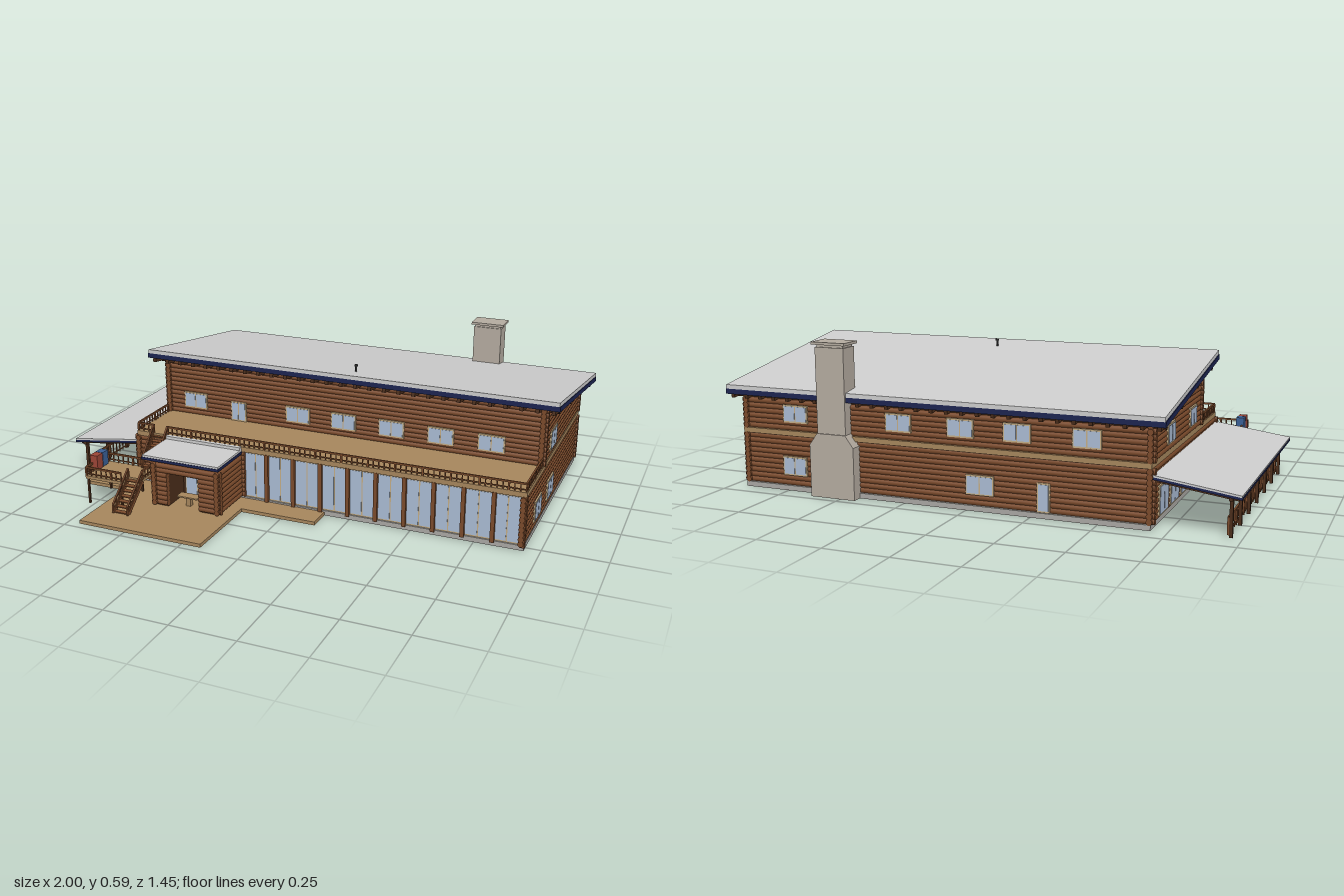
import * as THREE from 'three';
import { mergeGeometries } from 'three/addons/utils/BufferGeometryUtils.js';

const LOG = 0x7a4a2b, DARK = 0x4a2d1a, TAN = 0xa5855c, NAVY = 0x1c2450, ROOF = 0xdcdde0,
  GLASS = 0xa9bad2, FRAME = 0xc2ab84, STONE = 0xb3aa9f, CONCRETE = 0xa8a6a2;

// Box given by its limits
const box = (x0, x1, y0, y1, z0, z1) =>
  new THREE.BoxGeometry(x1 - x0, y1 - y0, z1 - z0).translate((x0 + x1) / 2, (y0 + y1) / 2, (z0 + z1) / 2);
// Box on a wall: u runs along the wall, p is the position across it
const wallBox = (axis, u0, u1, y0, y1, p0, p1) => {
  const a = Math.min(p0, p1), b = Math.max(p0, p1);
  return axis === 'x' ? box(u0, u1, y0, y1, a, b) : box(a, b, y0, y1, u0, u1);
};
// Square bar between two points
const beam = (a, b, w, h = w) => {
  const A = new THREE.Vector3(...a), B = new THREE.Vector3(...b);
  const o = new THREE.Object3D();
  o.position.copy(A).lerp(B, 0.5);
  o.lookAt(B);
  o.updateMatrix();
  return new THREE.BoxGeometry(w, h, A.distanceTo(B)).applyMatrix4(o.matrix);
};
// Outline in (z, y) extended from x0 to x1
const prism = (pts, x0, x1) =>
  new THREE.ExtrudeGeometry(new THREE.Shape(pts.map(p => new THREE.Vector2(...p))), { depth: x1 - x0, bevelEnabled: false })
    .rotateY(-Math.PI / 2).translate(x1, 0, 0);
// Round log along x or z
const log = (axis, u0, u1, y, p, r) => {
  const g = new THREE.CylinderGeometry(r, r, u1 - u0, 10).rotateZ(Math.PI / 2);
  return axis === 'x' ? g.translate((u0 + u1) / 2, y, p) : g.rotateY(Math.PI / 2).translate(p, y, (u0 + u1) / 2);
};
// Handrail with mid rail and balusters, from a to b at floor level
const railing = (a, b, h, step = 0.022) => {
  const up = (p, d) => [p[0], p[1] + d, p[2]];
  const out = [beam(up(a, h), up(b, h), 0.007), beam(up(a, 0.01), up(b, 0.01), 0.004)];
  const n = Math.max(1, Math.round(Math.hypot(b[0] - a[0], b[2] - a[2]) / step));
  for (let i = 0; i <= n; i++) {
    const p = a.map((v, k) => v + (b[k] - v) * i / n);
    out.push(beam(up(p, 0), up(p, h - 0.0005), i % 5 ? 0.004 : 0.007));
  }
  return out;
};

export function createModel() {
  const model = new THREE.Group();
  const part = (name, color, geoms) => {
    const g = mergeGeometries(geoms.map(q => (q.index ? q.toNonIndexed() : q)));
    const mesh = new THREE.Mesh(g, new THREE.MeshStandardMaterial({ color }));
    mesh.name = name;
    model.add(mesh);
  };
  const X0 = -0.685, X1 = 0.93, ZB = -0.665, ZF = 0.275, ZU = 0.01;
  const roofY = z => 0.523 + (z - 0.085) * 0.152;

  // Ground slab and wall cores
  part('foundation', CONCRETE, [box(-0.69, 0.94, 0, 0.02, -0.68, 0.28)]);
  part('wallCore', DARK, [
    box(X0, X1, 0.02, 0.216, ZB, 0.262), box(X0, -0.205, 0.02, 0.216, 0.26, ZF),
    prism([[ZU, 0.23], [ZU, roofY(ZU) - 0.036], [ZB, roofY(ZB) - 0.036], [ZB, 0.23]], X0, X1)]);

  // Stacked log walls with crossing corners
  const lower = [], upper = [], porch = [], n = 10, pitch = 0.0196, r = 0.0115, e = 0.018;
  for (let i = 0; i < n; i++) {
    const y = 0.03 + i * pitch;
    for (const x of [X0, X1]) lower.push(log('z', ZB - e, ZF + e, y, x, r));
    lower.push(log('x', X0 - e, X1 + e, y, ZB, r), log('x', X0 - e, -0.2, y, ZF, r));
    if (y < 0.2) {
      for (const x of [-0.5, -0.222]) porch.push(log('z', 0.28, 0.49, y, x, r));
      if (y > 0.16) porch.push(log('x', -0.515, -0.208, y, 0.472, r));
      else porch.push(log('x', -0.515, -0.445, y, 0.472, r), log('x', -0.305, -0.208, y, 0.472, r));
    }
  }
  for (let y = 0.245; y < 0.47; y += pitch) {
    // Side logs stop where the sloping roof cuts them
    const cut = Math.max(ZB - e, 0.085 + (y + 0.044 - 0.523) / 0.152);
    if (cut < ZU) for (const x of [X0, X1]) upper.push(log('z', cut, ZU + e, y, x, r));
    upper.push(log('x', X0 - e, X1 + e, y, ZU, r));
    if (y < 0.362) upper.push(log('x', X0 - e, X1 + e, y, ZB, r));
  }
  part('lowerLogWalls', LOG, lower);
  part('upperLogWalls', LOG, upper);
  part('porchLogWalls', LOG, porch);

  // Floor band and terrace, ground decks
  part('terraceFloor', TAN, [box(-0.692, 0.942, 0.216, 0.236, -0.682, 0.285)]);
  part('groundDeck', TAN, [box(-0.7, -0.17, 0, 0.014, 0.38, 0.72), box(-0.89, 0.145, 0, 0.014, 0.28, 0.38)]);

  // Main roof with eaves
  const layer = (top, bottom) => [[0.085, roofY(0.085) - bottom], [0.085, roofY(0.085) - top],
    [-0.707, roofY(-0.707) - top], [-0.707, roofY(-0.707) - bottom]];
  part('roofTop', ROOF, [prism(layer(0, 0.016), -0.742, 0.998)]);
  part('roofFascia', NAVY, [prism(layer(0.016, 0.036), -0.745, 1)]);
  const rafters = [];
  for (let i = 0; i <= 28; i++) {
    const x = -0.72 + i * 1.695 / 28;
    for (const [a, b] of [[-0.02, 0.075], [-0.697, -0.64]])
      rafters.push(beam([x, roofY(a) - 0.044, a], [x, roofY(b) - 0.044, b], 0.014, 0.018));
  }
  for (const z of [-0.66, -0.45, -0.22, 0.005]) rafters.push(log('x', -0.735, 0.985, roofY(z) - 0.047, z, 0.011));
  part('rafters', DARK, rafters);
  part('ventPipe', 0x333333, [new THREE.CylinderGeometry(0.004, 0.004, 0.04, 10).translate(0.157, 0.513, -0.02),
    new THREE.CylinderGeometry(0.007, 0.007, 0.007, 10).translate(0.157, 0.533, -0.02)]);

  // Chimney: wide base, sloped shoulders, shaft and cap
  const base = new THREE.Shape([[0.437, 0], [0.623, 0], [0.623, 0.2], [0.59, 0.245], [0.47, 0.245], [0.437, 0.2]]
    .map(p => new THREE.Vector2(...p)));
  part('chimney', STONE, [
    new THREE.ExtrudeGeometry(base, { depth: 0.06, bevelEnabled: false }).translate(0, 0, -0.72),
    box(0.47, 0.59, 0.24, 0.57, -0.715, -0.637), box(0.475, 0.585, 0.57, 0.58, -0.71, -0.642),
    box(0.46, 0.6, 0.58, 0.59, -0.725, -0.63)]);

  // Windows: frame, two panes
  const frames = [], panes = [];
  const win = (axis, u0, u1, y0, y1, plane, s, cols = 2) => {
    frames.push(wallBox(axis, u0, u1, y0, y1, plane, plane + s * 0.015));
    const w = (u1 - u0 - 0.006) / cols;
    for (let i = 0; i < cols; i++) {
      const a = u0 + 0.003 + i * w;
      panes.push(wallBox(axis, a + 0.0025, a + w - 0.0025, y0 + 0.006, y1 - 0.006, plane, plane + s * 0.0165));
    }
  };
  for (const x of [-0.61, -0.135, 0.068, 0.273, 0.478, 0.682]) win('x', x, x + 0.107, 0.267, 0.336, ZU, 1);
  win('x', -0.388, -0.318, 0.237, 0.322, ZU, 1);
  for (const x of [0.71, 0.27, 0.02, -0.2, -0.46]) win('x', x - 0.053, x + 0.053, 0.267, 0.336, ZB, -1);
  win('x', 0.665, 0.77, 0.06, 0.135, ZB, -1);
  win('x', -0.11, 0, 0.06, 0.135, ZB, -1);
  win('x', -0.325, -0.275, 0.022, 0.13, ZB, -1, 1);
  win('z', -0.19, -0.08, 0.26, 0.345, X1, 1);
  for (const z of [-0.19, 0.025]) win('z', z, z + 0.11, 0.05, 0.135, X1, 1);
  for (const z of [-0.5, -0.18]) win('z', z, z + 0.1, 0.26, 0.335, X0, -1);
  for (const z of [-0.6, -0.45, -0.3]) win('z', z, z + 0.12, 0.03, 0.14, X0, -1);
  win('x', -0.43, -0.32, 0.016, 0.125, 0.345, 1);

  // Large front glazing between timber posts
  const posts = [];
  for (let i = 0; i < 10; i++) {
    const b = -0.104 + i * 0.1155, a = Math.max(b - 0.1155, -0.205);
    win('x', a, Math.min(b, 0.925), 0.02, 0.215, 0.258, 1);
    posts.push(box(b - 0.008, b + 0.008, 0.014, 0.218, 0.265, 0.287));
  }
  part('windowFrames', FRAME, frames);
  part('windowPanes', GLASS, panes);
  part('glazingPosts', LOG, posts);

  // Entrance porch
  part('porchInterior', DARK, [box(-0.5, -0.222, 0.01, 0.205, 0.27, 0.345),
    box(-0.498, -0.447, 0.01, 0.2, 0.34, 0.47), box(-0.303, -0.224, 0.01, 0.2, 0.34, 0.47), box(-0.45, -0.3, 0.165, 0.2, 0.34, 0.47)]);
  part('porchRoofFascia', NAVY, [box(-0.55, -0.21, 0.206, 0.217, 0.283, 0.49)]);
  part('porchRoofTop', ROOF, [box(-0.548, -0.212, 0.217, 0.2375, 0.284, 0.3), box(-0.548, -0.212, 0.217, 0.225, 0.284, 0.488)]);
  part('porchTable', TAN, [box(-0.42, -0.33, 0.05, 0.056, 0.41, 0.45), box(-0.385, -0.365, 0.014, 0.05, 0.42, 0.44)]);

  // Terrace railing
  const F = 0.236, H = 0.033;
  part('terraceRailing', LOG, [
    ...railing([-0.55, F, 0.28], [0.937, F, 0.28], H), ...railing([-0.687, F, 0.28], [-0.615, F, 0.28], H),
    ...[-0.687, 0.937].flatMap(x => railing([x, F, 0.04], [x, F, 0.28], H))]);

  // Two stair flights with a landing balcony
  const L = 0.12, SX0 = -0.615, SX1 = -0.55, steps = [], rails = [];
  const flights = [[0.28, F, 0.385, L], [0.49, L, 0.61, 0.014]];
  for (const [z0, y0, z1, y1] of flights) {
    for (let i = 0; i < 7; i++) {
      const t = (i + 0.5) / 7, z = z0 + (z1 - z0) * t, y = y0 + (y1 - y0) * t;
      steps.push(box(SX0, SX1, y - 0.004, y, z - 0.011, z + 0.011));
    }
    for (const x of [SX0, SX1]) {
      steps.push(beam([x, y0 - 0.008, z0], [x, y1 - 0.002, z1], 0.006, 0.016));
      rails.push(...railing([x, y0, z0], [x, y1, z1], 0.036));
    }
  }
  part('stairs', LOG, steps);
  part('landing', TAN, [box(-0.78, SX0, L - 0.012, L, 0.375, 0.545), box(SX0, SX1, L - 0.012, L, 0.385, 0.49)]);
  const corners = [[-0.777, L, 0.378], [-0.777, L, 0.542]];
  rails.push(...railing(corners[0], corners[1], 0.036),
    ...corners.flatMap(c => railing(c, [SX0, L, c[2]], 0.036)), ...railing([SX1, L, 0.385], [SX1, L, 0.49], 0.036));
  part('stairRailing', LOG, rails);
  part('landingPosts', DARK, [-0.772, -0.62].flatMap(x => [0.383, 0.537].map(z => box(x - 0.004, x + 0.004, 0, L - 0.01, z - 0.004, z + 0.004))));
  part('blueBlanket', 0x3a5f95, [box(-0.785, -0.752, 0.13, 0.19, 0.42, 0.457)]);
  part('redBlanket', 0x9a4436, [box(-0.785, -0.752, 0.13, 0.19, 0.46, 0.498)]);

  // Side lean-to: sloped roof, posts and fence
  const slope = (x0, x1, y0, y1, t) => beam([x0, y0, -0.195], [x1, y1, -0.195], 0.965, t);
  part('leanToRoofTop', ROOF, [slope(-0.999, -0.694, 0.15, 0.192, 0.007)]);
  part('leanToRoofFascia', NAVY, [slope(-1, -0.694, 0.142, 0.184, 0.009)]);
  const frame = [box(-0.967, -0.953, 0.13, 0.143, -0.67, 0.28)];
  for (let i = 0; i < 7; i++) {
    const z = -0.65 + i * 0.152;
    frame.push(box(-0.966, -0.954, 0, 0.135, z - 0.006, z + 0.006), beam([-0.985, 0.133, z], [-0.7, 0.172, z], 0.01));
  }
  part('leanToFrame', DARK, frame);
  part('leanToFence', LOG, railing([-0.95, 0.008, -0.65], [-0.95, 0.008, 0.262], 0.06, 0.025));
  return model;
}
